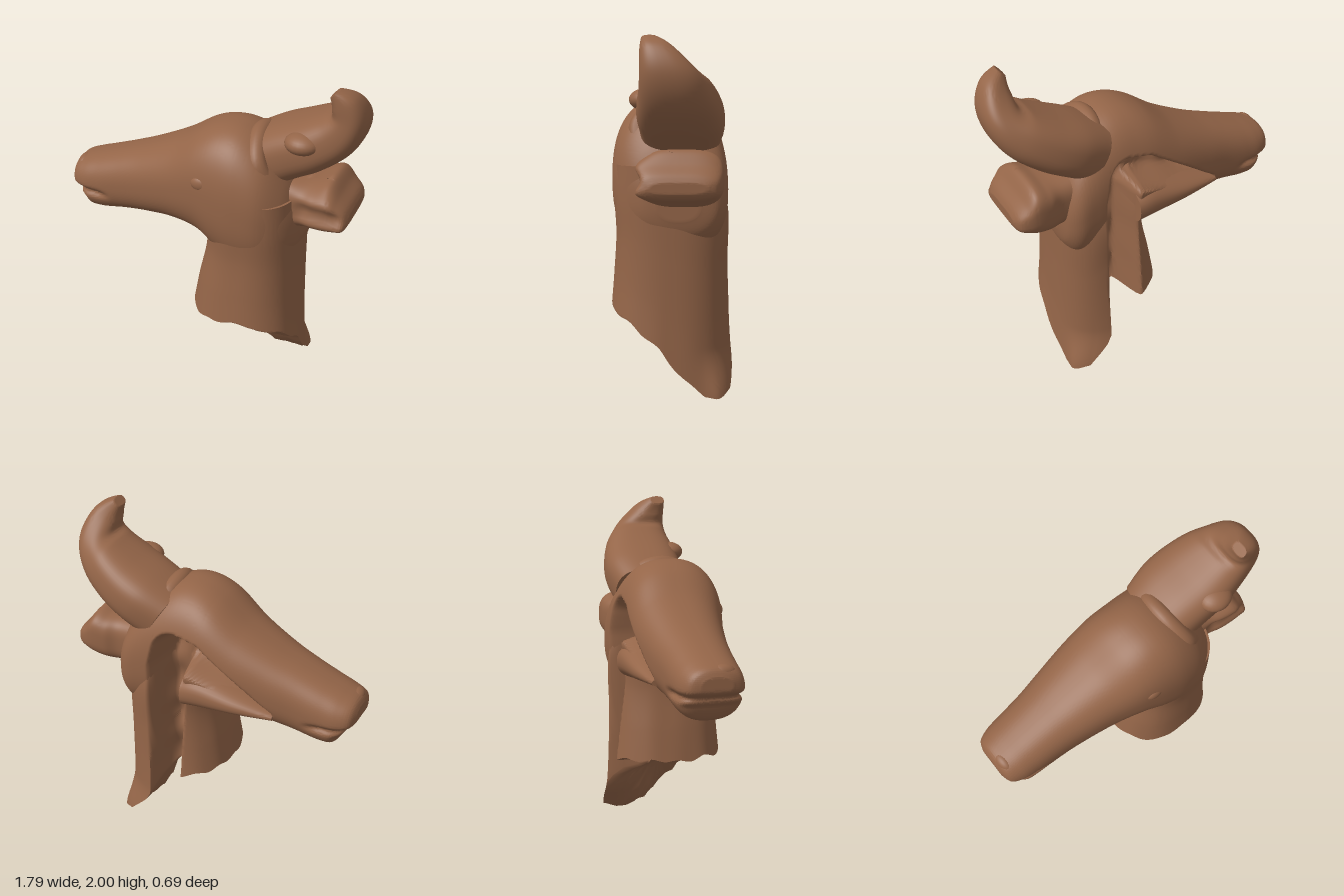
import * as THREE from 'three';
import { toCreasedNormals } from 'three/addons/utils/BufferGeometryUtils.js';

const { lerp, smoothstep, clamp } = THREE.MathUtils;
const UP = Math.PI / 2;

// Piecewise linear lookup in a table of [input, output]
function lookup(table, v) {
  if (v <= table[0][0]) return table[0][1];
  for (let i = 1; i < table.length; i++) {
    const [a, p] = table[i - 1], [b, q] = table[i];
    if (v <= b) return lerp(p, q, (v - a) / (b - a));
  }
  return table[table.length - 1][1];
}

// Smooth curve through the rows of a table
function sampleRows(rows, u) {
  const i = Math.min(Math.floor(u), rows.length - 2), t = u - i;
  const r = (k) => rows[clamp(k, 0, rows.length - 1)];
  return r(i).map((b, c) => {
    const a = r(i - 1)[c], d = r(i + 1)[c], e = r(i + 2)[c];
    return b + 0.5 * t * (d - a + t * (2 * a - 5 * b + 4 * d - e + t * (3 * (b - d) + e - a)));
  });
}

// Rounded-square rings along rows of [cx, cy, angle, half width, cz, half depth];
// both ends close with shrinking rings, and every point passes through warp
function loft(rows, { steps, sides, round, warp = () => {} }) {
  const pos = [], index = [], rings = [];
  const caps = 7;
  for (let k = 0; k < caps; k++) rings.push([0, k / caps]);
  for (let k = 0; k <= steps; k++) rings.push([(rows.length - 1) * k / steps, 1]);
  for (let k = caps - 1; k >= 0; k--) rings.push([rows.length - 1, k / caps]);
  const power = (v) => Math.sign(v) * Math.abs(v) ** round;
  const p = new THREE.Vector3();
  for (const [u, scale] of rings) {
    const [cx, cy, angle, hw, cz, hz] = sampleRows(rows, u);
    for (let j = 0; j < sides; j++) {
      const a = j / sides * Math.PI * 2;
      const n = power(Math.cos(a)) * hw * scale;
      p.set(cx + Math.cos(angle) * n, cy + Math.sin(angle) * n, cz + power(Math.sin(a)) * hz * scale);
      warp(p);
      pos.push(p.x, p.y, p.z);
    }
  }
  for (let i = 0; i < rings.length - 1; i++) {
    for (let j = 0; j < sides; j++) {
      const k = (j + 1) % sides, a = i * sides + j, b = i * sides + k;
      index.push(a, b, a + sides, b, b + sides, a + sides);
    }
  }
  const geo = new THREE.BufferGeometry();
  geo.setAttribute('position', new THREE.Float32BufferAttribute(pos, 3));
  geo.setIndex(index);
  return toCreasedNormals(geo, 1.2);
}

// Groove on the back: a path of [x, y, radius], from the jaw over the cheek and down the neck
const GROOVE = [
  [-0.42, 1.08, 0.005], [-0.18, 1.2, 0.055], [0.06, 1.31, 0.1],
  [0.17, 1.32, 0.11], [0.21, 1.2, 0.095], [0.22, 0.1, 0.085],
];
function carve(p) {
  const floor = -0.07 + 0.015 * Math.sin(p.y * 23) * Math.sin(p.x * 19);
  if (p.z >= floor) return;
  let d = Infinity;
  for (let i = 1; i < GROOVE.length; i++) {
    const [ax, ay, ar] = GROOVE[i - 1], [bx, by, br] = GROOVE[i];
    const dx = bx - ax, dy = by - ay;
    const t = clamp(((p.x - ax) * dx + (p.y - ay) * dy) / (dx * dx + dy * dy), 0, 1);
    d = Math.min(d, Math.hypot(p.x - ax - dx * t, p.y - ay - dy * t) - lerp(ar, br, t));
  }
  p.z = lerp(p.z, floor, 1 - smoothstep(d, -0.05, 0.025));
}

// Broken lower edge of the neck, with a foot that flares outward
const EDGE_X = [[-0.1, 0.48], [0.1, 0.47], [0.22, 0.43], [0.3, 0.33], [0.34, 0.18], [0.42, 0.03], [0.58, 0]];
const EDGE_Z = [[-0.35, 0], [-0.18, 0.02], [-0.08, 0.12], [0.05, 0.28], [0.2, 0.4], [0.35, 0.5]];
function breakEdge(p) {
  const rough = 0.008 * (Math.sin(p.x * 31 + p.z * 17) + Math.sin(p.z * 37 - p.x * 13));
  const low = Math.max(0, Math.max(lookup(EDGE_X, p.x), lookup(EDGE_Z, p.z)) + rough);
  p.y = low + p.y / 1.3 * (1.3 - low);
}
function flareFoot(p) {
  const flare = (1 - smoothstep(p.y, 0, 0.28)) * smoothstep(-p.z, 0.05, 0.3);
  p.x += 0.06 * flare * smoothstep(0.6 - p.x, 0, 0.1);
  p.z -= 0.02 * flare;
}

// Mouth slit and shorter lower lip
function shapeMouth(p) {
  if (p.x > -0.58) return;
  const slit = Math.exp(-(((p.y - 1.06) / 0.022) ** 2)) * (1 - smoothstep(p.x, -0.72, -0.6));
  p.z = lerp(p.z, -0.015, 0.14 * slit);
  const front = 1 - smoothstep(p.x, -0.9, -0.74);
  p.x += front * (0.04 * slit + 0.06 * (1 - smoothstep(p.y, 1.0, 1.07)));
}

export function createModel() {
  const group = new THREE.Group();
  const clay = new THREE.MeshStandardMaterial({ color: 0x946548 });
  clay.name = 'brown clay';
  const add = (name, geo) => {
    const mesh = new THREE.Mesh(geo, clay);
    mesh.name = name;
    group.add(mesh);
    return mesh;
  };

  // Head: [x, top, bottom, back z, front z]
  const head = [
    [-0.895, 1.18, 1.08, -0.1, 0.08], [-0.87, 1.22, 0.98, -0.16, 0.14], [-0.8, 1.25, 0.925, -0.195, 0.17],
    [-0.7, 1.285, 0.915, -0.21, 0.18], [-0.55, 1.34, 0.94, -0.225, 0.19], [-0.4, 1.4, 0.96, -0.25, 0.21],
    [-0.2, 1.5, 0.975, -0.28, 0.25], [-0.02, 1.62, 0.95, -0.29, 0.3], [0.12, 1.665, 0.85, -0.295, 0.33],
    [0.25, 1.65, 0.79, -0.305, 0.34], [0.38, 1.57, 0.79, -0.315, 0.32], [0.48, 1.44, 0.83, -0.31, 0.25],
    [0.54, 1.3, 0.92, -0.26, 0.16], [0.56, 1.2, 1.0, -0.17, 0.08],
  ].map(([x, t, b, k, f]) => [x, (t + b) / 2, UP, (t - b) / 2, (k + f) / 2, (f - k) / 2]);
  add('head', loft(head, {
    steps: 200, sides: 190, round: 0.82,
    warp: (p) => { shapeMouth(p); carve(p); },
  }));

  // Neck, from inside the head down to the broken edge
  const neck = [
    [0.29, 1.3, 0, 0.25, 0.03, 0.29], [0.28, 1.0, 0, 0.272, 0.003, 0.323], [0.276, 0.67, 0, 0.279, -0.002, 0.318],
    [0.257, 0.3, 0, 0.307, 0, 0.33], [0.25, 0, 0, 0.333, 0, 0.345],
  ];
  add('neck', loft(neck, {
    steps: 90, sides: 170, round: 0.82,
    warp: (p) => { breakEdge(p); carve(p); flareFoot(p); },
  }));

  // Inner jaw bulging beside the groove
  const jaw = [
    [-0.45, 1.06, UP, 0.025, -0.15, 0.095], [-0.22, 1.075, UP, 0.07, -0.12, 0.175],
    [0.0, 1.085, UP, 0.115, -0.1, 0.215], [0.11, 1.07, UP, 0.12, -0.1, 0.215],
  ];
  add('innerJaw', loft(jaw, { steps: 30, sides: 40, round: 0.82 }));

  // Horn sweeping back and curling up
  const horn = [
    [0.31, 1.46, 2.1, 0.17, -0.05, 0.22], [0.45, 1.54, 2.1, 0.165, -0.06, 0.235], [0.595, 1.615, 2.1, 0.155, -0.05, 0.23],
    [0.73, 1.71, 2.3, 0.135, -0.035, 0.195], [0.795, 1.82, 3.0, 0.1, 0.0, 0.15],
    [0.775, 1.92, 3.55, 0.075, 0.055, 0.095], [0.725, 1.98, 3.95, 0.03, 0.1, 0.045],
  ];
  add('horn', loft(horn, { steps: 50, sides: 48, round: 0.75 }));

  // Ear, ribbed on its open front
  const ear = [
    [0.42, 1.25, UP, 0.15, -0.05, 0.2], [0.56, 1.24, UP, 0.15, -0.05, 0.2], [0.64, 1.245, UP, 0.148, -0.055, 0.225],
    [0.72, 1.258, UP, 0.15, -0.055, 0.235], [0.78, 1.235, UP, 0.1, -0.05, 0.23],
    [0.825, 1.222, UP, 0.065, -0.04, 0.215], [0.845, 1.22, UP, 0.03, -0.04, 0.17],
  ];
  add('ear', loft(ear, {
    steps: 40, sides: 72, round: 0.6,
    warp: (p) => {
      if (p.z > 0) p.z -= 0.016 * (1 + Math.cos((p.y - 1.25) * 45)) * smoothstep(p.x, 0.5, 0.62);
    },
  }));

  // Small rounded lumps: [name, centre, radii]
  const lumps = [
    ['eye', [0.04, 1.37, 0.287], [0.06, 0.045, 0.03]],
    ['hornNub', [0.57, 1.665, 0.13], [0.1, 0.06, 0.09]],
    ['nostrilRim', [-0.84, 1.19, 0.03], [0.045, 0.045, 0.075]],
  ];
  for (const [name, centre, radii] of lumps) {
    const mesh = add(name, new THREE.SphereGeometry(1, 24, 16));
    mesh.position.set(...centre);
    mesh.scale.set(...radii);
  }

  // Collar fold where the horn leaves the crown
  const fold = new THREE.CatmullRomCurve3([
    [0.33, 1.5, -0.19], [0.29, 1.6, -0.08], [0.29, 1.61, 0.06], [0.33, 1.52, 0.18], [0.4, 1.38, 0.17],
  ].map((v) => new THREE.Vector3(...v)));
  add('hornCollar', new THREE.TubeGeometry(fold, 32, 0.055, 16));

  return group;
}
